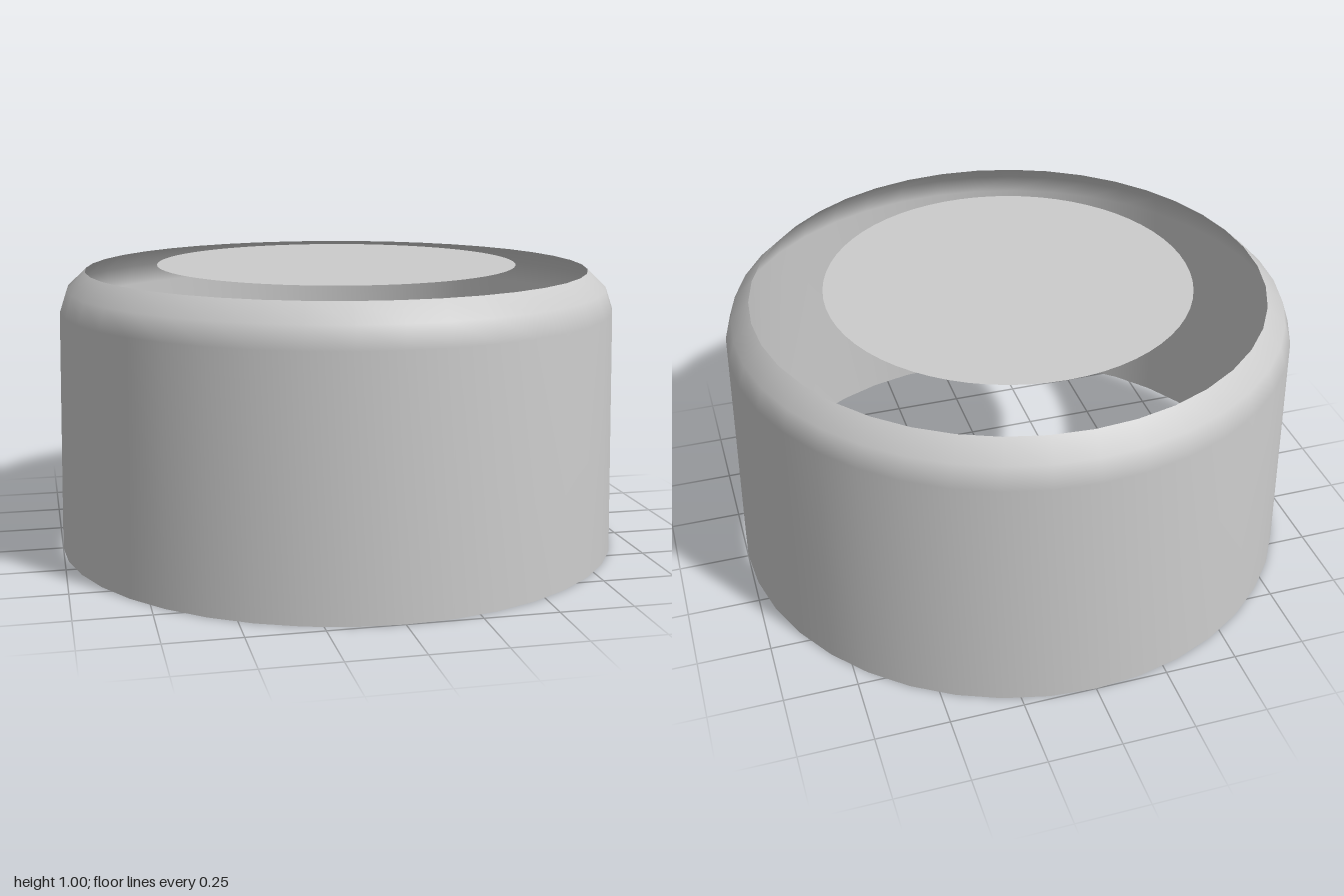
import * as THREE from 'three';

export function createModel() {
  const model = new THREE.Group();
  const material = new THREE.MeshStandardMaterial({ color: 0xcccccc, side: THREE.DoubleSide });

  // Thin tapered wall with a rounded shoulder, open at both ends
  const profile = [[1, 0], [0.98, 0.85], [0.955, 0.925], [0.89, 0.987]]
    .map(([r, y]) => new THREE.Vector2(r, y));
  const shell = new THREE.Mesh(new THREE.LatheGeometry(profile, 40), material);
  shell.name = 'shell';
  model.add(shell);

  // Flat disc centred just over the top opening
  const disc = new THREE.Mesh(new THREE.CircleGeometry(0.638, 64), material);
  disc.name = 'topDisc';
  disc.rotation.x = -Math.PI / 2;
  disc.position.y = 1;
  model.add(disc);

  return model;
}
